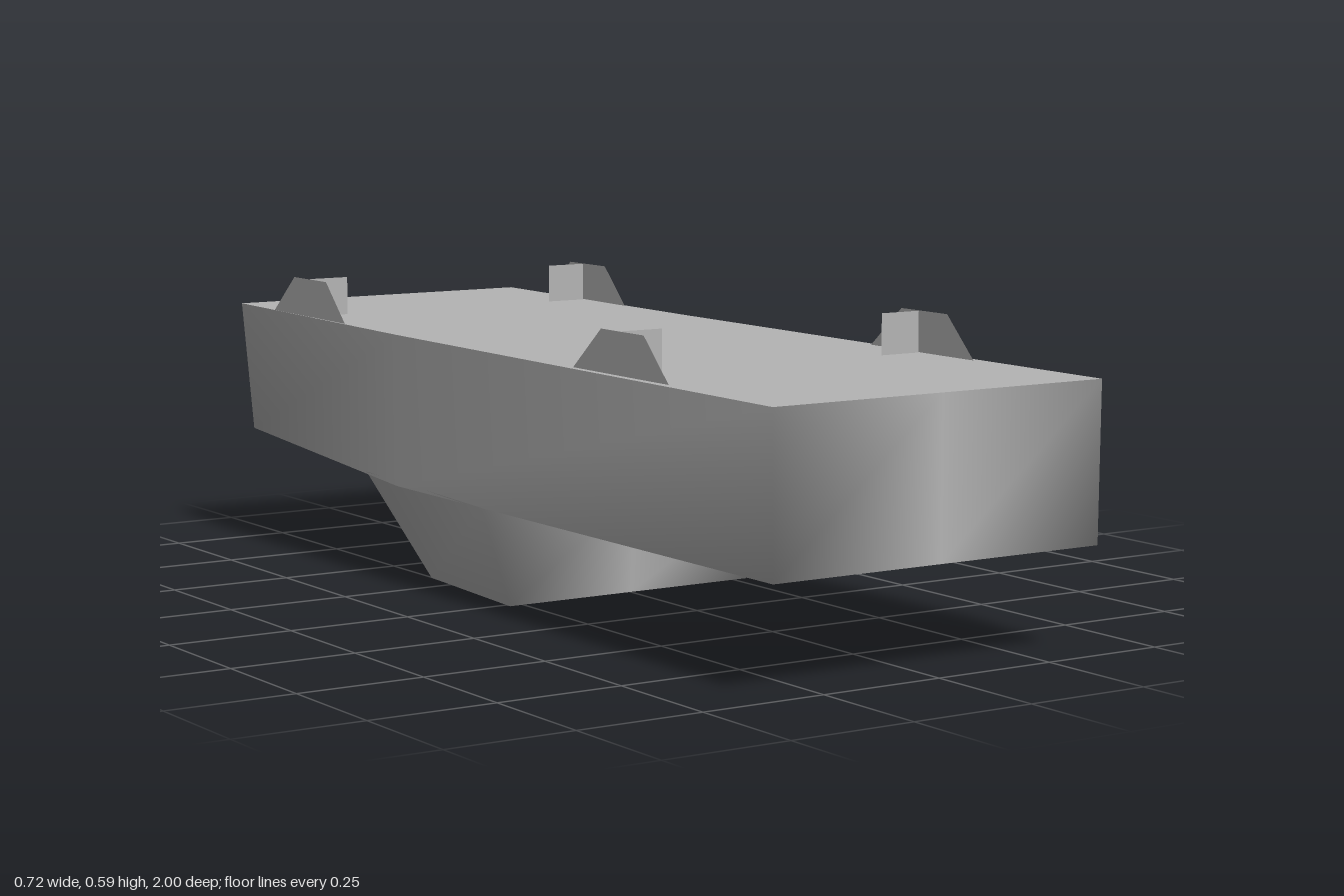
import * as THREE from 'three';

const grey = new THREE.MeshStandardMaterial({ color: 0xb4b4b4 });
grey.name = 'grey';
const greyPlate = grey.clone(); // same colour, seen from both sides
greyPlate.name = 'grey plate';
greyPlate.side = THREE.DoubleSide;

// Mirrored shell from stations [half width, y, z] listed front to back,
// with a smooth wall, an underside and an optional flat lid.
function shell(top, bottom, lid) {
  const pos = [], idx = [];
  const quad = (a, b, c, d) => idx.push(a, b, c, a, c, d);
  const at = ([x, y, z], side) => [x * side, y, z];
  const last = top.length - 1;

  // Wall: down the +x side, across the back, up the -x side, across the front
  const ring = s => [
    ...s.map(p => at(p, 1)), at(s[last], 0),
    ...s.map(p => at(p, -1)).reverse(), at(s[0], 0)];
  const low = ring(bottom), high = ring(top), n = low.length;
  low.forEach((p, i) => {
    pos.push(...p, ...high[i]);
    const j = (i + 1) % n;
    quad(2 * i, 2 * j, 2 * j + 1, 2 * i + 1);
  });

  // Flat strips across the full width, facing down or up
  const cap = (s, up) => {
    const base = pos.length / 3;
    s.forEach(p => pos.push(...at(p, 1), ...at(p, 0), ...at(p, -1)));
    for (let i = 0; i < last; i++) for (let c = 0; c < 2; c++) {
      const a = base + 3 * i + c;
      if (up) quad(a + 3, a + 4, a + 1, a);
      else quad(a, a + 1, a + 4, a + 3);
    }
  };
  cap(bottom, false);
  if (lid) cap(top, true);

  const g = new THREE.BufferGeometry();
  g.setAttribute('position', new THREE.Float32BufferAttribute(pos, 3));
  g.setIndex(idx);
  g.computeVertexNormals();

  // Soft lower corners
  const P = g.attributes.position, N = g.attributes.normal;
  for (let i = 0; i < P.count; i++) {
    const end = [0, last].find(k =>
      Math.abs(P.getZ(i) - bottom[k][2]) < 1e-5 && Math.abs(P.getY(i) - bottom[k][1]) < 1e-5);
    if (end === undefined || P.getX(i) === 0) continue;
    N.setXYZ(i, 0.577 * Math.sign(P.getX(i)), -0.577, end === 0 ? 0.577 : -0.577);
  }
  return g;
}

export function createModel() {
  const model = new THREE.Group();
  model.name = 'model';
  const add = (name, geometry, material, parent = model) => {
    const mesh = new THREE.Mesh(geometry, material);
    mesh.name = name;
    parent.add(mesh);
    return mesh;
  };

  // Long body, narrowing and rising slightly toward the back
  add('body', shell(
    [[0.361, 0.503, 1], [0.35, 0.506, -0.3], [0.34, 0.511, -1]],
    [[0.358, 0.202, 1], [0.352, 0.202, -0.3], [0.34, 0.245, -0.95]], true), grey);

  // Tapered keel under the middle
  add('keel', shell(
    [[0.355, 0.203, 0.035], [0.35, 0.215, -0.43]],
    [[0.28, 0, 0.015], [0.28, 0.01, -0.29]], false), grey);

  // Four brackets: an upright side plate with a cross plate inside it
  const outline = new THREE.Shape([
    [-0.16, 0], [-0.08, 0.08], [0.06, 0.08], [0.155, 0]]
    .map(([x, y]) => new THREE.Vector2(x, y)));
  for (const [end, z, y] of [['front', 0.5, 0.504], ['back', -0.69, 0.507]])
    for (const side of [1, -1]) {
      const bracket = new THREE.Group();
      bracket.name = `${end}${side > 0 ? 'Left' : 'Right'}Bracket`;
      bracket.position.set(side * 0.342, y, z);
      model.add(bracket);
      add('sidePlate', new THREE.ShapeGeometry(outline), greyPlate, bracket).rotation.y = Math.PI / 2;
      add('crossPlate', new THREE.PlaneGeometry(0.088, 0.08), greyPlate, bracket)
        .position.set(-side * 0.049, 0.04, 0);
    }
  return model;
}
